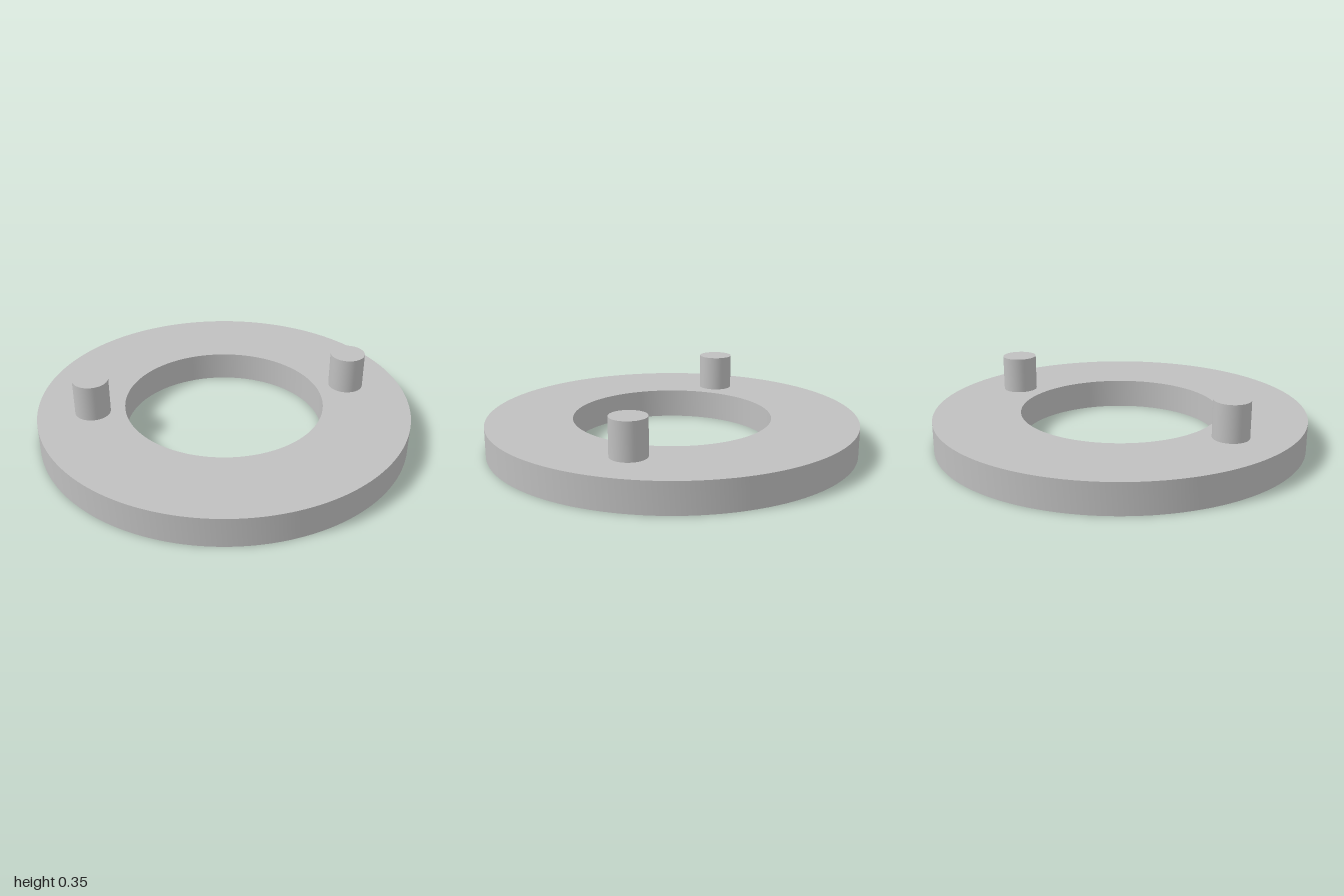
import * as THREE from 'three';
import { toCreasedNormals } from 'three/addons/utils/BufferGeometryUtils.js';

export function createModel() {
  const model = new THREE.Group();
  const grey = new THREE.MeshStandardMaterial({ color: 0xc0c0c0 });
  grey.name = 'plain grey';

  const ringHeight = 0.16;
  const pegTop = 0.355;

  // Flat ring with a round through-hole
  const outline = new THREE.Shape().absarc(0, 0, 1, 0, Math.PI * 2, false);
  outline.holes.push(new THREE.Path().absarc(0, 0, 0.536, 0, Math.PI * 2, true));
  const ringGeometry = new THREE.ExtrudeGeometry(outline, {
    depth: ringHeight, bevelEnabled: false, curveSegments: 96,
  });
  ringGeometry.rotateX(-Math.PI / 2);
  const ring = new THREE.Mesh(toCreasedNormals(ringGeometry, 0.6), grey);
  ring.name = 'ring';
  model.add(ring);

  // Two upright pegs, set slightly behind the centre line
  const pegHeight = pegTop - ringHeight;
  const pegGeometry = new THREE.CylinderGeometry(0.094, 0.094, pegHeight, 48);
  for (const side of [1, -1]) {
    const peg = new THREE.Mesh(pegGeometry, grey);
    peg.name = side > 0 ? 'leftPeg' : 'rightPeg';
    peg.position.set(side * 0.706, ringHeight + pegHeight / 2, -0.036);
    model.add(peg);
  }
  return model;
}
